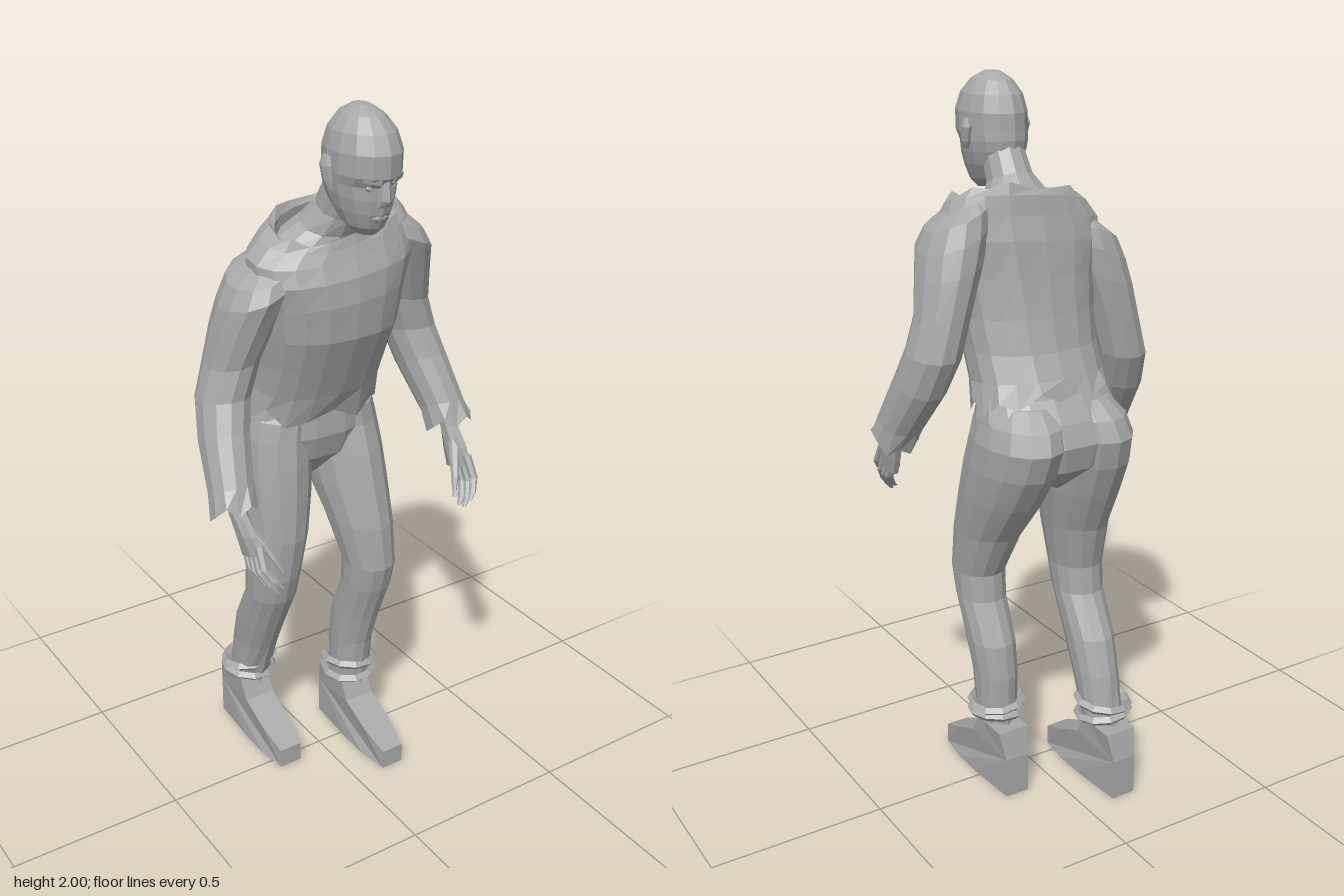
import * as THREE from 'three';

const grey = new THREE.MeshStandardMaterial({ color: 0xa8a8a8, side: THREE.DoubleSide });
grey.name = 'plain grey';

// Faceted mesh
function part(name, geo) {
  const g = geo.index ? geo.toNonIndexed() : geo;
  g.computeVertexNormals();
  const m = new THREE.Mesh(g, grey);
  m.name = name;
  return m;
}

// Skin over rings [x, y, z, rx, rz, tilt (front down), roll (+x up), jag]
function loft(name, rings, n = 10, { power = 1, caps = true } = {}) {
  const rows = rings[0][1] > rings[rings.length - 1][1] ? [...rings].reverse() : rings;
  const pos = [], idx = [];
  const soft = (v) => Math.sign(v) * Math.abs(v) ** power;
  const torn = [1, -0.6, 0.3, -1, 0.7, -0.2, -0.8];
  for (const [x, y, z, rx, rz, tilt = 0, roll = 0, jag = 0] of rows) {
    for (let i = 0; i < n; i++) {
      const a = ((i + 0.5) / n) * Math.PI * 2;
      const dx = rx * soft(Math.cos(a)), dz = rz * soft(Math.sin(a));
      pos.push(x + dx, y - tilt * dz + roll * dx + jag * torn[i % 7], z + dz);
    }
  }
  for (let j = 0; j < rows.length - 1; j++) {
    for (let i = 0; i < n; i++) {
      const a = j * n + i, b = j * n + (i + 1) % n;
      idx.push(a, a + n, b, b, a + n, b + n);
    }
  }
  if (caps) {
    [0, rows.length - 1].forEach((j, top) => {
      const c = pos.length / 3;
      pos.push(...rows[j].slice(0, 3));
      for (let i = 0; i < n; i++) {
        const a = j * n + i, b = j * n + (i + 1) % n;
        if (top) idx.push(a, c, b); else idx.push(a, b, c);
      }
    });
  }
  const g = new THREE.BufferGeometry();
  g.setAttribute('position', new THREE.Float32BufferAttribute(pos, 3));
  g.setIndex(idx);
  return part(name, g);
}

// Mirror to side s and shift down
const place = (rings, s, drop = 0) =>
  rings.map(([x, y, z, rx, rz, t = 0, r = 0, j = 0]) => [x * s, y - drop, z, rx, rz, t, r * s, j]);

function makeHead() {
  const g = new THREE.Group();
  g.name = 'head';
  g.add(loft('skull', [
    [0, 1.695, 0.212, 0.028, 0.028, 0.1], [0, 1.72, 0.195, 0.052, 0.068, 0.1],
    [0, 1.76, 0.183, 0.069, 0.097, 0.1], [0, 1.795, 0.179, 0.079, 0.108, 0.08],
    [0, 1.825, 0.177, 0.084, 0.11, 0.05], [0, 1.85, 0.188, 0.087, 0.119, 0.05],
    [0, 1.9, 0.19, 0.087, 0.12], [0, 1.945, 0.188, 0.075, 0.102],
    [0, 1.98, 0.186, 0.05, 0.069], [0, 2.0, 0.183, 0.02, 0.028]], 14));
  g.add(loft('nose', [[0, 1.772, 0.274, 0.022, 0.022], [0, 1.79, 0.283, 0.019, 0.026],
    [0, 1.845, 0.288, 0.009, 0.014]], 6));
  g.add(loft('upperLip', [[0, 1.742, 0.263, 0.028, 0.016], [0, 1.752, 0.265, 0.02, 0.012]], 8));
  g.add(loft('lowerLip', [[0, 1.723, 0.252, 0.02, 0.012], [0, 1.737, 0.259, 0.025, 0.016]], 8));
  for (const s of [-1, 1]) {
    const brow = part('brow', new THREE.BoxGeometry(0.044, 0.014, 0.024));
    brow.position.set(s * 0.032, 1.842, 0.28);
    brow.rotation.set(0.2, s * 0.5, s * 0.1);
    const eye = part('eye', new THREE.IcosahedronGeometry(0.012, 0));
    eye.position.set(s * 0.034, 1.82, 0.27);
    g.add(brow, eye, loft('ear', [[s * 0.083, 1.805, 0.18, 0.008, 0.009],
      [s * 0.087, 1.825, 0.174, 0.012, 0.016], [s * 0.09, 1.862, 0.168, 0.013, 0.022],
      [s * 0.088, 1.885, 0.168, 0.008, 0.014]], 7));
  }
  return g;
}

function makeArm(s, drop) {
  const g = new THREE.Group();
  g.name = s > 0 ? 'leftArm' : 'rightArm';
  // Sleeve with a full shoulder and torn cuff
  g.add(loft('sleeve', place([
    [0.18, 1.682, 0.03, 0.04, 0.06, 0.1, -0.3], [0.2, 1.65, 0.033, 0.082, 0.098, 0.1, -0.4],
    [0.214, 1.6, 0.032, 0.094, 0.112, 0, -0.4], [0.236, 1.52, 0.014, 0.087, 0.102, 0, -0.25],
    [0.266, 1.41, -0.005, 0.076, 0.084, 0, -0.15],
    [0.295, 1.31, -0.005, 0.073, 0.082, -0.15], [0.316, 1.22, 0.032, 0.069, 0.075, -0.35],
    [0.34, 1.1, 0.105, 0.062, 0.06, -0.45], [0.347, 1.05, 0.133, 0.066, 0.061, -0.45, 0, 0.018],
    [0.347, 1.075, 0.122, 0.048, 0.043, -0.45]], s, drop), 12, { caps: false }));
  // Hand with palm turned inward
  g.add(loft('palm', place([
    [0.342, 1.1, 0.11, 0.027, 0.03, -0.4], [0.342, 1.04, 0.145, 0.022, 0.03, -0.4],
    [0.338, 0.99, 0.178, 0.021, 0.044, -0.4], [0.335, 0.945, 0.2, 0.017, 0.046, -0.4]], s, drop), 8));
  for (let i = 0; i < 4; i++) {
    const z = 0.165 + i * 0.023, y = 0.945 + i * 0.01, len = [0.08, 0.105, 0.11, 0.09][i];
    g.add(loft('finger', place([
      [0.335, y + 0.015, z, 0.013, 0.013], [0.338, y - len * 0.45, z + 0.03, 0.012, 0.012],
      [0.32, y - len * 0.8, z + 0.052, 0.01, 0.01],
      [0.304, y - len, z + 0.062, 0.006, 0.006]], s, drop), 6));
  }
  g.add(loft('thumb', place([
    [0.335, 1.02, 0.175, 0.015, 0.017], [0.31, 0.98, 0.212, 0.013, 0.014],
    [0.293, 0.94, 0.24, 0.011, 0.011], [0.279, 0.905, 0.258, 0.006, 0.006]], s, drop), 6));
  return g;
}

function makeShoe(x, z0) {
  // Side outline as (z, y), then narrowed towards toe and heel
  const outline = [[-0.14, 0], [0.03, 0], [0.12, 0], [0.21, 0], [0.21, 0.06], [0.12, 0.1],
    [0.03, 0.14], [0, 0.2], [-0.12, 0.2], [-0.14, 0.12]];
  const shape = new THREE.Shape(outline.map(([z, y]) => new THREE.Vector2(-z, y)));
  const geo = new THREE.ExtrudeGeometry(shape, { depth: 0.1, bevelEnabled: false });
  geo.translate(0, 0, -0.05).rotateY(Math.PI / 2);
  const p = geo.attributes.position;
  for (let i = 0; i < p.count; i++) {
    const z = p.getZ(i);
    const w = z > 0.2 ? 0.035 : z < -0.13 ? 0.036 : 0.047;
    p.setX(i, Math.sign(p.getX(i)) * w);
  }
  geo.translate(x, 0, z0);
  return part('shoe', geo);
}

function makeLeg(s, rings) {
  const g = new THREE.Group();
  g.name = s > 0 ? 'leftLeg' : 'rightLeg';
  g.add(loft('trouserLeg', place(rings, s), 14));
  const [ax, , az] = rings[rings.length - 1];
  g.add(loft('ankle', [[ax * s, 0.12, az - 0.02, 0.038, 0.045], [ax * s, 0.28, az, 0.042, 0.045]], 8));
  // Two loose bands round the ankle
  [[0.228, 0.07, 0.08], [0.262, -0.06, -0.1]].forEach(([y, rx, rz]) => {
    const band = part('ankleBand', new THREE.TorusGeometry(0.073, 0.013, 4, 10).rotateX(Math.PI / 2));
    band.position.set(ax * s, y, az);
    band.rotation.set(rx, 0, rz * s);
    g.add(band);
  });
  g.add(makeShoe(ax * s, az + 0.028));
  return g;
}

export function createModel() {
  const model = new THREE.Group();
  model.name = 'stoopedFigure';
  model.add(makeHead());
  model.add(loft('neckAndShoulders', [
    [0, 1.6, 0.055, 0.19, 0.1, 0.3], [0, 1.655, 0.05, 0.155, 0.083, 0.35, 0.08],
    [0, 1.69, 0.068, 0.095, 0.07, 0.4, 0.05], [0, 1.73, 0.097, 0.063, 0.062, 0.4],
    [0, 1.8, 0.135, 0.057, 0.062, 0.3]], 12));

  // Shirt with ragged hem and torn neckline
  model.add(loft('shirt', [
    [0, 1.17, -0.062, 0.2, 0.136, 0.2, 0, 0.025], [0, 1.23, -0.035, 0.187, 0.138, 0.1],
    [0, 1.31, 0, 0.187, 0.142], [0, 1.4, 0.03, 0.195, 0.15], [0, 1.5, 0.045, 0.21, 0.145, 0, 0.05],
    [0, 1.58, 0.05, 0.235, 0.135, 0.1, 0.08], [0, 1.635, 0.05, 0.235, 0.116, 0.2, 0.1],
    [0.01, 1.675, 0.05, 0.206, 0.106, 0.32, 0.1], [0.01, 1.697, 0.054, 0.18, 0.096, 0.36, 0.1, 0.01],
    [0.01, 1.68, 0.054, 0.166, 0.087, 0.36, 0.1]], 18, { power: 0.86, caps: false }));
  model.add(makeArm(1, -0.01), makeArm(-1, 0.065));

  // Trousers
  model.add(loft('trouserSeat', [
    [0, 0.93, -0.09, 0.015, 0.06], [0, 1.01, -0.1, 0.17, 0.145], [0, 1.08, -0.098, 0.21, 0.163],
    [0, 1.14, -0.088, 0.203, 0.15], [0, 1.2, -0.066, 0.185, 0.124]], 16, { power: 0.9 }));
  model.add(makeLeg(1, [
    [0.09, 1.18, -0.09, 0.075, 0.112], [0.1, 1.135, -0.104, 0.102, 0.157], [0.108, 1.08, -0.112, 0.11, 0.17],
    [0.112, 1.0, -0.085, 0.11, 0.168], [0.116, 0.9, -0.04, 0.104, 0.147], [0.123, 0.78, 0.02, 0.089, 0.114],
    [0.132, 0.65, 0.06, 0.073, 0.085], [0.132, 0.57, 0.048, 0.07, 0.077], [0.13, 0.45, 0, 0.066, 0.083],
    [0.127, 0.35, -0.02, 0.06, 0.075], [0.127, 0.21, -0.027, 0.056, 0.062, 0, 0, 0.015]]));
  model.add(makeLeg(-1, [
    [0.09, 1.18, -0.09, 0.075, 0.112], [0.1, 1.135, -0.104, 0.102, 0.157], [0.108, 1.08, -0.114, 0.11, 0.17],
    [0.112, 1.0, -0.1, 0.11, 0.164], [0.116, 0.9, -0.075, 0.104, 0.144], [0.123, 0.78, -0.045, 0.089, 0.115],
    [0.132, 0.65, -0.037, 0.075, 0.088], [0.132, 0.57, -0.052, 0.071, 0.08], [0.13, 0.45, -0.115, 0.067, 0.086],
    [0.127, 0.35, -0.155, 0.062, 0.077], [0.127, 0.21, -0.198, 0.057, 0.062, 0, 0, 0.015]]));
  return model;
}
